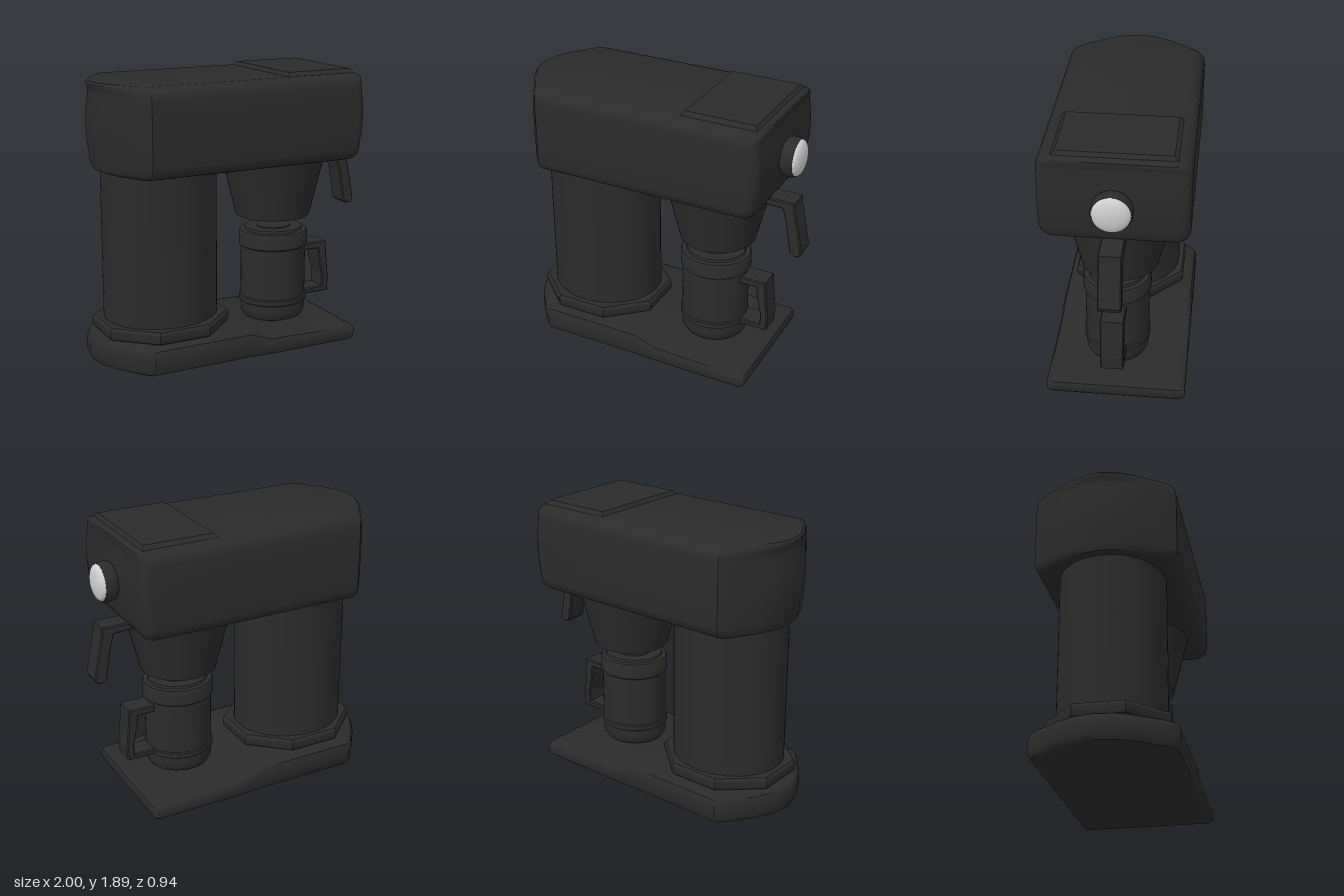
import * as THREE from 'three';
import { toCreasedNormals } from 'three/addons/utils/BufferGeometryUtils.js';

const black = new THREE.MeshStandardMaterial({ color: 0x2b2b2b });
black.name = 'matte black';
const silver = new THREE.MeshStandardMaterial({ color: 0xcfcfcf });
silver.name = 'silver';

// Half plan outline: faceted round back end, straight side, rounded front corner
const arc = [[0, 0], [0.09, 0.28], [0.33, 0.54], [0.6, 0.74], [0.8, 0.9], [1, 1]];

// Stack of plan outlines; rows are [t, half depth, left x, right x], height(x, t) gives y
function planBody(rows, corner, height) {
  const pos = [], index = [];
  let n = 0, m = 0;
  for (const [t, zh, xl, xr] of rows) {
    const half = arc.map(([u, v]) => [THREE.MathUtils.lerp(xl, -0.73, u), v * zh]);
    half.push([-0.03, zh], [0.13, zh]);
    for (let k = 0; k <= 4; k++) {
      const a = (k / 4) * Math.PI / 2;
      half.push([xr - corner + corner * Math.sin(a), zh - corner + corner * Math.cos(a)]);
    }
    half.push([xr, 0]);
    m = half.length;
    n = 2 * m - 2;
    const ring = half.concat(half.slice(1, -1).reverse().map(([x, z]) => [x, -z]));
    for (const [x, z] of ring) pos.push(x, height(x, t), z);
  }
  for (let j = 0; j < rows.length - 1; j++) {
    for (let i = 0; i < n; i++) {
      const a = j * n + i, b = j * n + (i + 1) % n;
      index.push(a, b, b + n, a, b + n, a + n);
    }
  }
  // Caps as strips between mirrored points
  const top = (rows.length - 1) * n;
  for (let i = 0; i < m - 1; i++) {
    const a = i, b = i + 1, c = (n - i - 1) % n, d = (n - i) % n;
    if (b !== c) {
      index.push(top + a, top + b, top + c, a, c, b);
    }
    if (a !== d) {
      index.push(top + a, top + c, top + d, a, d, c);
    }
  }
  const g = new THREE.BufferGeometry();
  g.setAttribute('position', new THREE.Float32BufferAttribute(pos, 3));
  g.setIndex(index);
  return toCreasedNormals(g, 0.7);
}

function lathe(profile, segments = 48, crease = 0.6, phase = 0) {
  const pts = profile.map(([r, y]) => new THREE.Vector2(r, y));
  return toCreasedNormals(new THREE.LatheGeometry(pts, segments, phase), crease);
}

// Side profile extruded across z with a small bevel
function handle(points, width, z) {
  const b = 0.008;
  const g = new THREE.ExtrudeGeometry(new THREE.Shape(points.map(([x, y]) => new THREE.Vector2(x, y))), {
    depth: width - 2 * b, bevelSize: b, bevelThickness: b, bevelOffset: -b, bevelSegments: 1,
  });
  g.translate(0, 0, z - width / 2 + b);
  return g;
}

export function createModel() {
  const model = new THREE.Group();
  const add = (name, geometry, material = black) => {
    const mesh = new THREE.Mesh(geometry, material);
    mesh.name = name;
    model.add(mesh);
    return mesh;
  };

  // Base: thick at the back, sloping down to a thin tray
  const baseTop = (x) => x < -0.03 ? 0.265
    : x < 0.13 ? 0.265 - (x + 0.03) / 0.16 * 0.06
      : 0.205 - (x - 0.13) / 0.66 * 0.02;
  add('base', planBody([
    [0, 0.42, -0.95, 0.745], [0.07, 0.45, -0.98, 0.772], [0.27, 0.466, -0.998, 0.788],
    [0.74, 0.466, -0.998, 0.792], [0.93, 0.452, -0.982, 0.785], [1, 0.425, -0.955, 0.765],
  ], 0.03, (x, t) => 0.08 + t * (baseTop(x) - 0.08)));

  // Head: bulging ends with a small lip under the top edge
  add('head', planBody([
    [1.365, 0.405, -0.9, 0.755], [1.375, 0.435, -0.922, 0.78], [1.4, 0.458, -0.932, 0.795],
    [1.44, 0.468, -0.938, 0.805], [1.55, 0.468, -0.953, 0.822], [1.66, 0.468, -0.96, 0.83],
    [1.76, 0.468, -0.953, 0.826], [1.86, 0.468, -0.938, 0.812], [1.89, 0.462, -0.938, 0.812],
    [1.91, 0.45, -0.952, 0.82], [1.93, 0.428, -0.955, 0.818], [1.945, 0.39, -0.945, 0.8],
  ], 0.065, (x, t) => t));

  // Hopper lid: shallow bevelled plate
  const lid = new THREE.CylinderGeometry(Math.SQRT1_2 * 0.93, Math.SQRT1_2, 0.027, 4, 1).toNonIndexed();
  lid.rotateY(Math.PI / 4);
  lid.scale(0.51, 1, 0.76);
  lid.computeVertexNormals();
  add('hopperLid', lid).position.set(0.525, 1.957, -0.004);

  // Column and its octagonal foot
  const column = add('column', new THREE.CylinderGeometry(0.39, 0.39, 1.14, 48));
  column.position.set(-0.49, 0.82, 0.006);
  column.scale.z = 0.9;
  const k = 1 / Math.cos(Math.PI / 8);
  const foot = add('columnFoot', lathe([
    [0.38, 0.25], [0.405, 0.265], [0.425, 0.275], [0.4325, 0.29], [0.4325, 0.335], [0.42, 0.355], [0, 0.355],
  ].map(([r, y]) => [r * k, y]), 8, 0.5, Math.PI / 8));
  foot.position.set(-0.49, 0, 0.01);
  foot.scale.z = 0.91;

  // Funnel and its lever
  add('funnel', new THREE.CylinderGeometry(0.362, 0.257, 0.43, 48)).position.set(0.375, 1.16, 0.004);
  add('leverHandle', handle([
    [0.68, 1.305], [0.855, 1.295], [0.88, 1.2], [0.918, 0.985], [0.95, 0.962], [0.985, 0.967],
    [1, 1], [0.972, 1.15], [0.938, 1.3], [0.935, 1.352], [0.68, 1.352],
  ], 0.15, 0.008));

  // Jar with bands, lid and handle
  const jar = add('jar', lathe([
    [0, 0.205], [0.175, 0.205], [0.208, 0.218], [0.225, 0.245], [0.23, 0.28], [0.23, 0.325],
    [0.24, 0.332], [0.24, 0.364], [0.23, 0.371], [0.23, 0.725], [0.243, 0.735], [0.243, 0.825],
    [0.235, 0.84], [0.205, 0.843], [0.2, 0.86], [0.12, 0.86], [0.117, 0.868], [0, 0.868],
  ]));
  jar.position.set(0.373, 0, 0.024);
  jar.scale.z = 0.94;
  add('jarHandle', handle([
    [0.57, 0.335], [0.79, 0.335], [0.796, 0.43], [0.778, 0.6], [0.77, 0.71], [0.57, 0.71],
    [0.57, 0.66], [0.705, 0.66], [0.712, 0.59], [0.742, 0.45], [0.74, 0.375], [0.57, 0.375],
  ], 0.156, 0.02));

  // Dial with a silver dome
  const dial = new THREE.Group();
  dial.name = 'dial';
  const rim = new THREE.Mesh(lathe([
    [0.1, 0], [0.122, 0.015], [0.13, 0.035], [0.13, 0.075], [0.122, 0.097], [0, 0.097],
  ]), black);
  rim.name = 'dialRim';
  const cap = [];
  for (let i = 0; i <= 8; i++) {
    const a = (i / 8) * Math.PI / 2;
    cap.push([0.12 * Math.cos(a), 0.097 + 0.043 * Math.sin(a)]);
  }
  const dome = new THREE.Mesh(lathe(cap), silver);
  dome.name = 'dialCap';
  dial.add(rim, dome);
  dial.rotation.z = -Math.PI / 2;
  dial.position.set(0.817, 1.637, 0);
  model.add(dial);

  return model;
}
